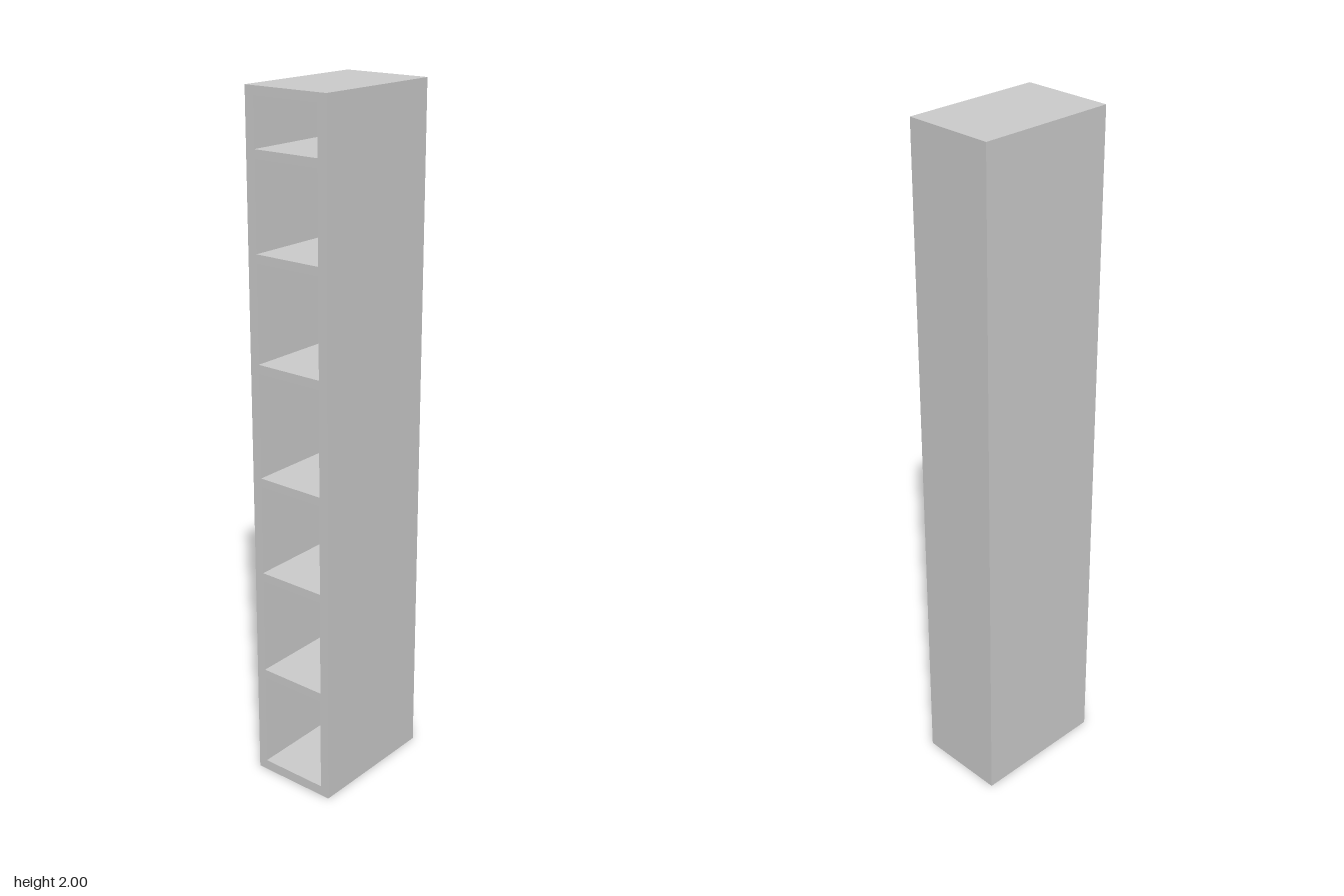
import * as THREE from 'three';

const W = 0.266, H = 2, D = 0.41;   // outer size
const OPEN_W = 0.21;                // clear width between the side walls
const BACK = 0.02;                  // back panel thickness

// Bottom and top height of each compartment
const COMPARTMENTS = [
  [0.03, 0.314], [0.339, 0.627], [0.651, 0.917], [0.941, 1.245],
  [1.27, 1.547], [1.571, 1.818], [1.842, 1.976],
];

function rectangle(path, x0, y0, x1, y1) {
  path.moveTo(x0, y0);
  path.lineTo(x1, y0);
  path.lineTo(x1, y1);
  path.lineTo(x0, y1);
  path.closePath();
  return path;
}

export function createModel() {
  const group = new THREE.Group();
  group.name = 'narrowShelfUnit';
  const material = new THREE.MeshStandardMaterial({ color: 0xcccccc });

  // Side walls, top, bottom and shelves as one frame with open compartments
  const outline = rectangle(new THREE.Shape(), -W / 2, 0, W / 2, H);
  for (const [y0, y1] of COMPARTMENTS) {
    outline.holes.push(rectangle(new THREE.Path(), -OPEN_W / 2, y0, OPEN_W / 2, y1));
  }
  const frameGeometry = new THREE.ExtrudeGeometry(outline, { depth: D - BACK, bevelEnabled: false });
  const frame = new THREE.Mesh(frameGeometry, material);
  frame.name = 'shelfFrame';
  frame.position.z = -D / 2 + BACK;
  group.add(frame);

  // Closed back
  const back = new THREE.Mesh(new THREE.BoxGeometry(W, H, BACK), material);
  back.name = 'backPanel';
  back.position.set(0, H / 2, -D / 2 + BACK / 2);
  group.add(back);

  return group;
}
